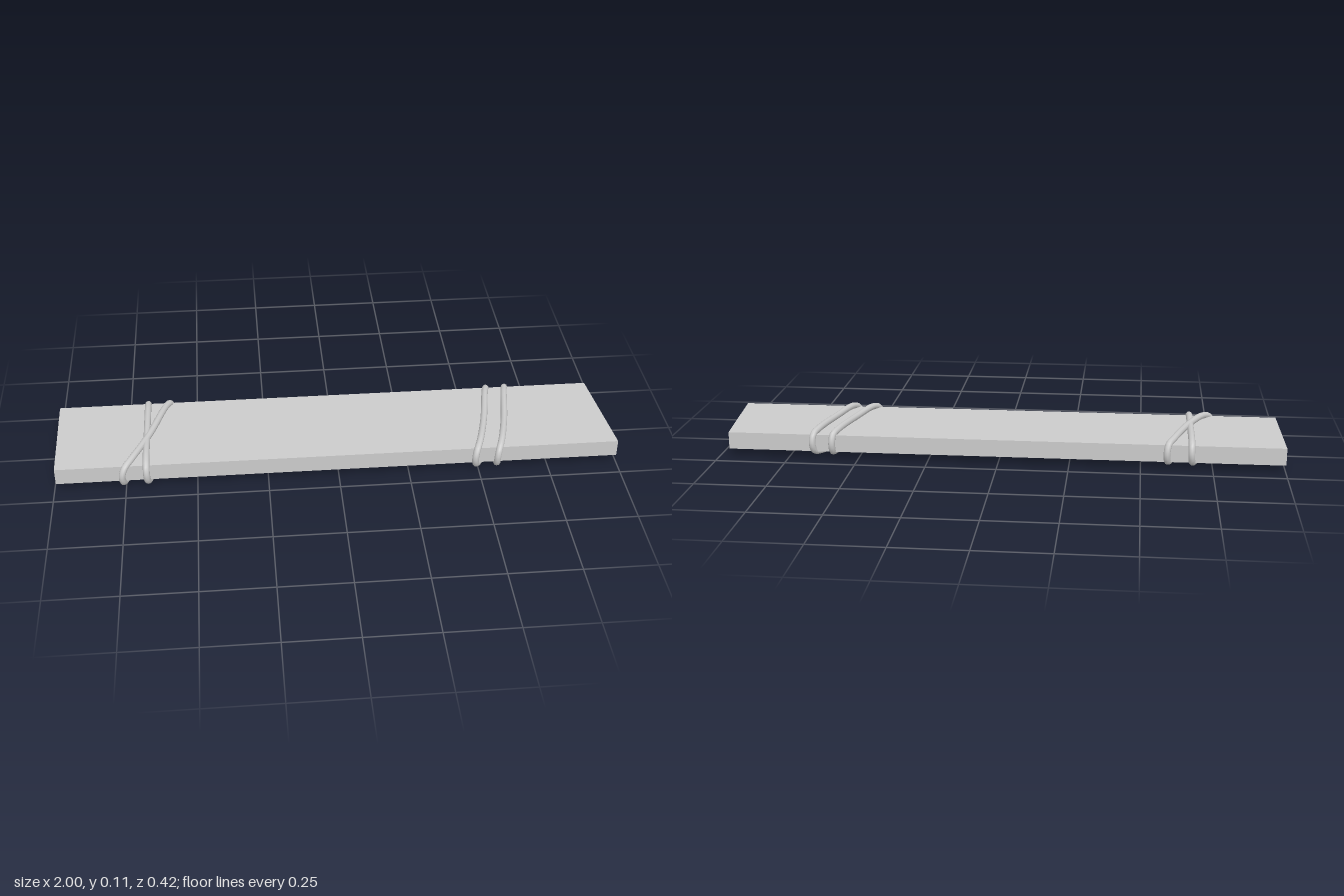
import * as THREE from 'three';

const material = new THREE.MeshStandardMaterial({ color: 0xcccccc });

// One turn of cord round the plank: over the top from front to back,
// then underneath to the front position of the next turn.
function turn(front, back, nextFront, lift = 0) {
  const over = (t) => front + (back - front) * t;
  const under = (t) => back + (nextFront - back) * t;
  return [
    [front, 0.058, 0.2],
    [over(0.06), 0.087, 0.19],
    [over(0.2), 0.1, 0.155],
    [over(0.55), 0.1 + lift, 0.02],
    [over(0.88), 0.1, -0.155],
    [over(0.97), 0.091, -0.19],
    [back, 0.06, -0.201],
    [under(0.03), 0.032, -0.19],
    [under(0.15), 0.023, -0.15],
    [under(0.5), 0.018, 0],
    [under(0.85), 0.015, 0.15],
    [under(0.97), 0.026, 0.188],
  ];
}

// Closed cord that winds twice round the plank
function binding(name, turns) {
  const points = turns.flatMap((t) => turn(...t)).map((p) => new THREE.Vector3(...p));
  const path = new THREE.CatmullRomCurve3(points, true, 'centripetal');
  const mesh = new THREE.Mesh(new THREE.TubeGeometry(path, 160, 0.012, 10, true), material);
  mesh.name = name;
  return mesh;
}

export function createModel() {
  const model = new THREE.Group();
  model.name = 'boundPlank';

  // Plank with slightly skewed ends, outlined as (x, -z)
  const outline = new THREE.Shape([
    new THREE.Vector2(-0.993, -0.185),
    new THREE.Vector2(1, -0.185),
    new THREE.Vector2(0.965, 0.192),
    new THREE.Vector2(-1, 0.192),
  ]);
  const board = new THREE.ExtrudeGeometry(outline, { depth: 0.061, bevelEnabled: false });
  board.rotateX(-Math.PI / 2).translate(0, 0.029, 0);
  const plank = new THREE.Mesh(board, material);
  plank.name = 'plank';
  model.add(plank);

  // Right cord crosses on top, left cord crosses underneath
  model.add(
    binding('rightCord', [
      [-0.76, -0.59, -0.675, 0.003],
      [-0.675, -0.675, -0.76],
    ]),
    binding('leftCord', [
      [0.485, 0.59, 0.565],
      [0.565, 0.66, 0.485],
    ]),
  );
  return model;
}
